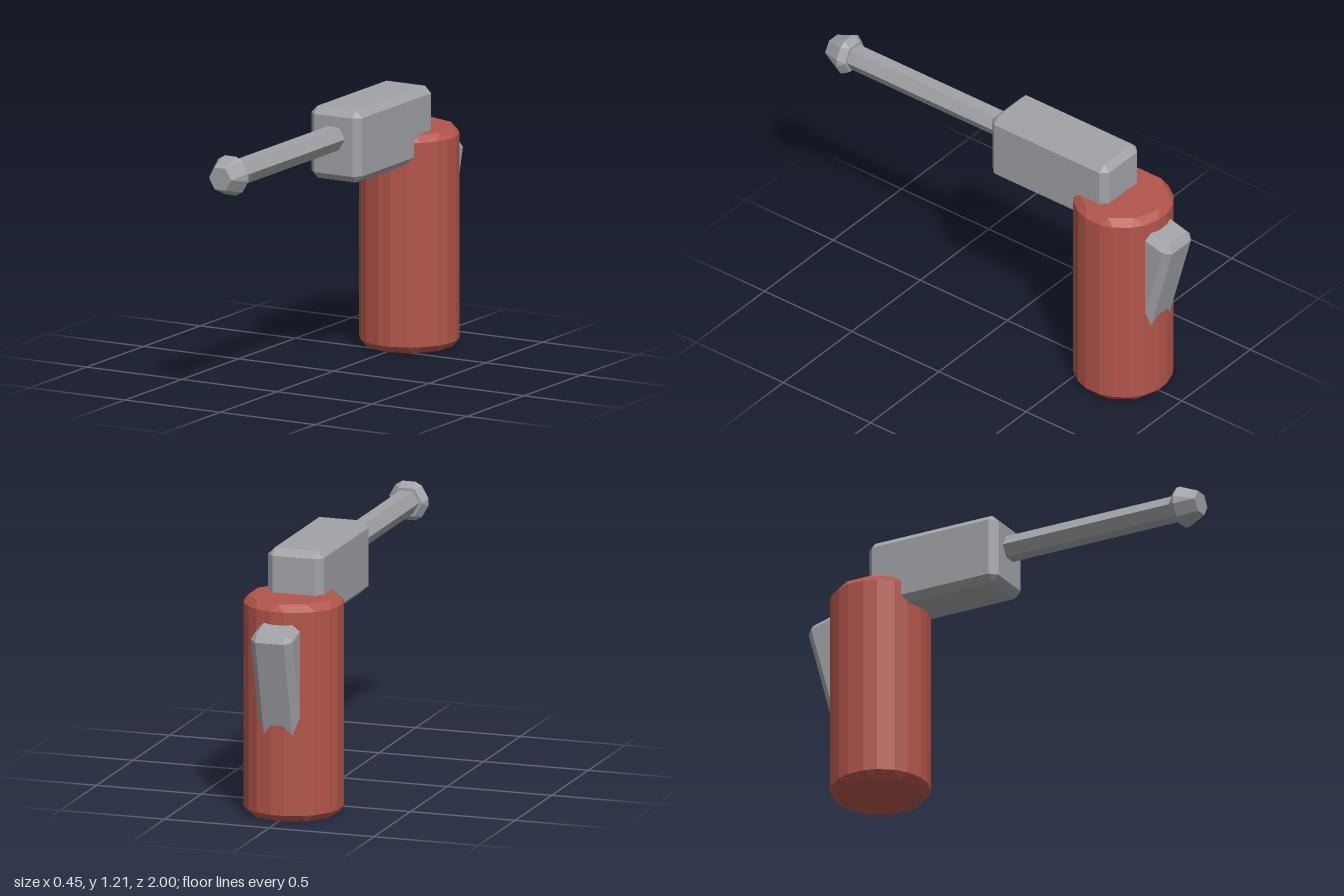
import * as THREE from 'three';
import { ConvexGeometry } from 'three/addons/geometries/ConvexGeometry.js';

const V = (x, y, z) => new THREE.Vector3(x, y, z);

// Regular polygon corners in the xz plane, first corner at angle "start"
function polygon(n, radius, start) {
  return Array.from({ length: n }, (_, i) => {
    const a = start + (i / n) * Math.PI * 2;
    return V(Math.cos(a) * radius, 0, Math.sin(a) * radius);
  });
}

// Each corner cut into two points, moved by b along its sides
function cutCorners(corners, b) {
  return corners.flatMap((p, i) => {
    const q = corners[(i + 1) % corners.length];
    const step = q.clone().sub(p).setLength(b);
    return [p.clone().add(step), q.clone().sub(step)];
  });
}

// Hull of rings stacked along y, each given as [corners, y]
function stack(rings) {
  return new ConvexGeometry(rings.flatMap(([pts, y]) => pts.map((p) => V(p.x, y, p.z))));
}

// Box centred on the origin with every edge chamfered by b
function chamferBox(w, h, d, b) {
  const x = w / 2, y = h / 2, z = d / 2, pts = [];
  for (const sx of [-1, 1]) for (const sy of [-1, 1]) for (const sz of [-1, 1]) {
    pts.push(
      V(sx * x, sy * (y - b), sz * (z - b)),
      V(sx * (x - b), sy * y, sz * (z - b)),
      V(sx * (x - b), sy * (y - b), sz * z));
  }
  return new ConvexGeometry(pts);
}

export function createModel() {
  const model = new THREE.Group();
  const red = new THREE.MeshStandardMaterial({ color: 0xb2554b });
  red.name = 'red';
  const grey = new THREE.MeshStandardMaterial({ color: 0xa0a2a6 });
  grey.name = 'grey';

  const add = (name, geometry, material, x, y, z) => {
    const mesh = new THREE.Mesh(geometry, material);
    mesh.name = name;
    mesh.position.set(x, y, z);
    model.add(mesh);
    return mesh;
  };

  // Ten-sided handle with chamfered edges
  const b = 0.032, height = 1.008;
  const side = cutCorners(polygon(10, 0.2355, Math.PI / 2), b + 0.001);
  const cap = polygon(10, 0.203, Math.PI / 2);
  add('handle', stack([[cap, 0], [side, b], [side, height - b], [cap, height]]), red, 0, 0, -0.665);

  // Main housing
  add('housing', chamferBox(0.266, 0.333, 0.67, b), grey, 0, 1.0435, -0.33);

  // Six-sided rod
  const rod = new THREE.CylinderGeometry(0.06, 0.06, 1.0, 6, 1).toNonIndexed();
  rod.rotateY(Math.PI / 2);
  rod.rotateX(Math.PI / 2);
  rod.computeVertexNormals();
  add('rod', rod, grey, 0, 1.077, 0.4);

  // Tapered tip
  const rim = cutCorners(polygon(6, 0.104, 0), 0.022);
  const tip = stack([[polygon(6, 0.074, 0), 0.875], [rim, 0.908], [polygon(6, 0.058, 0), 1]]);
  tip.rotateX(Math.PI / 2);
  add('tip', tip, grey, 0, 1.077, 0);

  // Slanted lever at the back of the handle
  const lever = add('lever', chamferBox(0.2, 0.6, 0.2, b), grey, 0, 0.621, -0.833);
  lever.rotation.x = -Math.PI / 12;

  return model;
}
